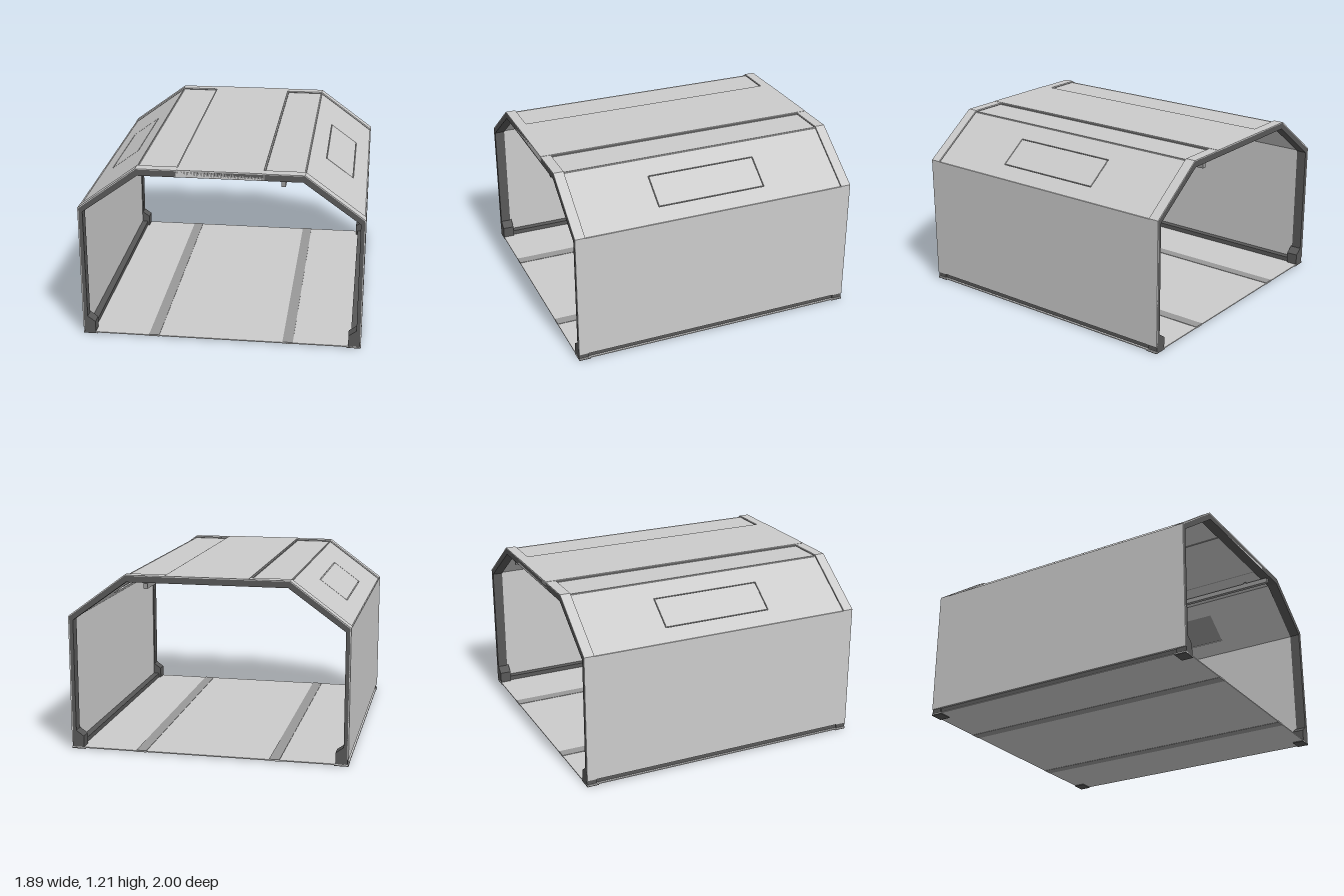
import * as THREE from 'three';

const light = new THREE.MeshStandardMaterial({ color: 0xcccccc, flatShading: true });
const dark = new THREE.MeshStandardMaterial({ color: 0x585858, flatShading: true });
const mid = new THREE.MeshStandardMaterial({ color: 0x999999, flatShading: true });

function add(parent, name, geometry, material = light) {
  const mesh = new THREE.Mesh(geometry, material);
  mesh.name = name;
  parent.add(mesh);
  return mesh;
}

// Box given by its limits on each axis
function box(parent, name, [x0, x1], [y0, y1], [z0, z1], material) {
  const mesh = add(parent, name, new THREE.BoxGeometry(x1 - x0, y1 - y0, z1 - z0), material);
  mesh.position.set((x0 + x1) / 2, (y0 + y1) / 2, (z0 + z1) / 2);
  return mesh;
}

const shapeOf = (pts) => new THREE.Shape(pts.map(([x, y]) => new THREE.Vector2(x, y)));

// Cross-section in x and y, pushed along z
function prism(parent, name, pts, z0, z1, material) {
  const geo = new THREE.ExtrudeGeometry(shapeOf(pts), { depth: z1 - z0, bevelEnabled: false });
  return add(parent, name, geo.translate(0, 0, z0), material);
}

// Half of a gable-arch outline, mirrored to both sides
const arch = (w, shoulder, top, ridge, foot) => {
  const half = [[w, foot], [w, shoulder], [top, ridge]];
  return [...half, ...half.map(([x, y]) => [-x, y]).reverse()];
};
const band = (outer, inner) => [...outer, ...inner.slice().reverse()];

const rect = (x0, x1, y0, y1) => [[x0, y0], [x1, y0], [x1, y1], [x0, y1]];

// One long side: wall, bottom rail, sloped roof panel with window, flat roof panel
function createSide() {
  const side = new THREE.Group();
  box(side, 'wallPanel', [0.937, 0.945], [0.045, 0.917], [-1, 1]);
  box(side, 'wallLining', [0.92, 0.937], [0.045, 0.9], [-0.93, 0.93]);
  box(side, 'bottomRail', [0.875, 0.93], [0.012, 0.045], [-0.93, 0.93], dark);
  box(side, 'flatRoofPanel', [0.28, 0.552], [1.17, 1.199], [-0.93, 0.93]);
  box(side, 'floorStrip', [0.42, 0.49], [0.004, 0.016], [-1, 1], mid);

  // Slope plane: x runs along the length, y up the slope, z outward
  const dx = -0.395, dy = 0.29, len = Math.hypot(dx, dy);
  const slope = new THREE.Group();
  slope.name = 'roofSlope';
  slope.matrixAutoUpdate = false;
  slope.matrix.makeBasis(
    new THREE.Vector3(0, 0, -1),
    new THREE.Vector3(dx / len, dy / len, 0),
    new THREE.Vector3(dy / len, -dx / len, 0)
  ).setPosition(0.945, 0.92, 0);
  const panel = shapeOf(rect(-0.93, 0.93, 0, len));
  panel.holes.push(shapeOf(rect(-0.385, 0.385, 0.118, 0.353)));
  const panelGeo = new THREE.ExtrudeGeometry(panel, { depth: 0.024, bevelEnabled: false });
  add(slope, 'slopedRoofPanel', panelGeo.translate(0, 0, -0.034));
  box(slope, 'windowPane', [-0.379, 0.379], [0.124, 0.347], [-0.02, -0.01]);
  box(slope, 'windowBacking', [-0.385, 0.385], [0.118, 0.353], [-0.025, -0.02], mid);
  side.add(slope);

  // Feet in the two corners of this side
  for (const z of [-1, 0.92]) {
    const foot = [[0.86, 0], [0.915, 0], [0.915, 0.13], [0.86, 0.09]];
    prism(side, 'cornerFoot', foot, z, z + 0.08, dark);
    box(side, 'footPlate', [0.85, 0.945], [0, 0.007], [z, z + 0.08], dark);
  }
  return side;
}

export function createModel() {
  const model = new THREE.Group();
  model.name = 'shelter';

  // Floor
  box(model, 'floor', [-0.945, 0.945], [0.006, 0.013], [-1, 1]);

  // End frames with a thin cover on the outside
  const outer = arch(0.945, 0.92, 0.55, 1.21, 0.9);
  const core = arch(0.938, 0.917, 0.548, 1.204, 0);
  const coverInner = arch(0.938, 0.917, 0.548, 1.204, 0.9);
  const inner = arch(0.912, 0.893, 0.538, 1.163, 0);
  for (const z of [-1, 0.93]) {
    prism(model, 'endFrame', band(core, inner), z, z + 0.07, dark);
    prism(model, 'endFrameCover', band(outer, coverInner), z, z + 0.07);
  }

  // Raised middle of the roof with its seam strips
  box(model, 'middleRoofPanel', [-0.28, 0.28], [1.165, 1.212], [-1, 1]);
  for (const x of [-0.285, 0.285]) {
    box(model, 'roofSeam', [x - 0.005, x + 0.005], [1.165, 1.206], [-1, 1], mid);
  }

  // Two matching long sides
  for (const [name, turn] of [['leftSide', 0], ['rightSide', Math.PI]]) {
    const side = createSide();
    side.name = name;
    side.rotation.y = turn;
    model.add(side);
  }

  // Ceiling track
  box(model, 'ceilingTrack', [0.398, 0.425], [1.12, 1.155], [-0.98, 0.98], mid);
  for (const z of [-0.8, 0, 0.8]) {
    box(model, 'trackHanger', [0.407, 0.416], [1.15, 1.175], [z - 0.01, z + 0.01], dark);
  }
  return model;
}
